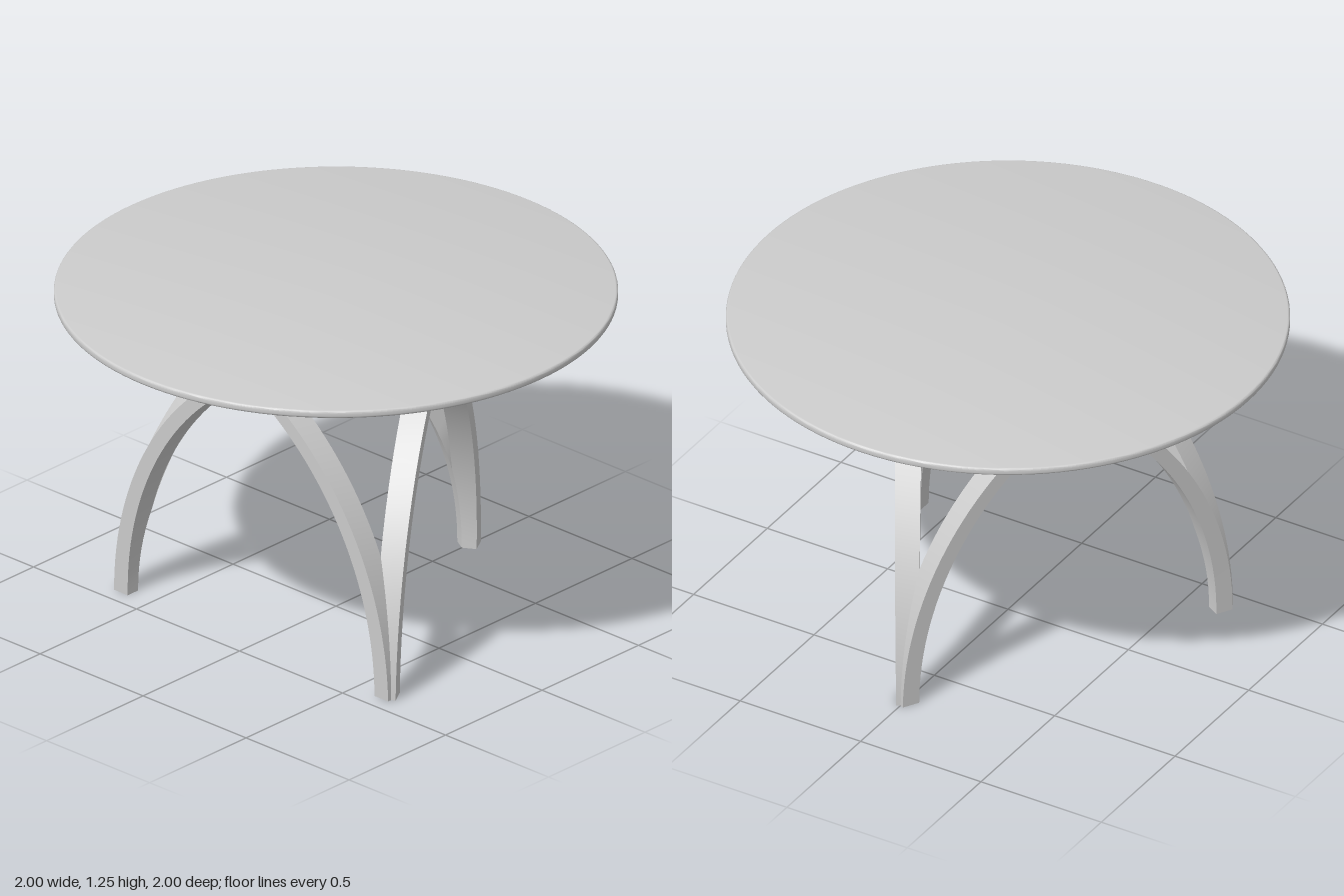
import * as THREE from 'three';
import { toCreasedNormals } from 'three/addons/utils/BufferGeometryUtils.js';

const material = new THREE.MeshStandardMaterial({ color: 0xcccccc });

// Curved arm: rises from a foot on one side (s) as a quarter ellipse and runs
// flat to the opposite corner. Both ends are mitred against the next arm.
function armGeometry(s) {
  const A = 1.15, B = 1.187, CX = -0.518, STEPS = 44, TIP = -0.735, FLAT = 4;
  const positions = [], index = [];
  const tri = (a, b, c) => (s > 0 ? index.push(a, b, c) : index.push(a, c, b));

  const addRing = (u, y, nx, ny, k) => {
    const half = THREE.MathUtils.lerp(0.033, 0.02, k);
    const outer = THREE.MathUtils.lerp(0.4, 0.425, k);
    for (const [n, side] of [[1, 0], [1, 1], [-1, 1], [-1, 0]]) {
      const pu = u + n * half * nx;
      const py = Math.max(0, y + n * half * ny);
      const inner = Math.min(Math.max(0.32, Math.abs(pu) / Math.sqrt(3)), outer);
      positions.push(s * pu, py, side ? outer : inner);
    }
  };

  for (let i = 0; i <= STEPS; i++) {
    const t = (i / STEPS) * Math.PI / 2;
    const n = new THREE.Vector2(Math.cos(t) / A, Math.sin(t) / B).normalize();
    addRing(CX + A * Math.cos(t), B * Math.sin(t), n.x, n.y, i / STEPS);
  }
  for (let i = 1; i <= FLAT; i++) addRing(THREE.MathUtils.lerp(CX, TIP, i / FLAT), B, 0, 1, 1);

  const last = STEPS + FLAT;
  for (let i = 0; i < last; i++) {
    for (let k = 0; k < 4; k++) {
      const a = i * 4 + k, b = i * 4 + (k + 1) % 4;
      tri(a, a + 4, b + 4);
      tri(a, b + 4, b);
    }
  }
  tri(0, 1, 2);
  tri(0, 2, 3);
  const e = last * 4;
  tri(e, e + 2, e + 1);
  tri(e, e + 3, e + 2);

  const g = new THREE.BufferGeometry();
  g.setAttribute('position', new THREE.Float32BufferAttribute(positions, 3));
  g.setIndex(index);
  return toCreasedNormals(g, 0.5);
}

// Round top with softened rim
function topGeometry() {
  const y0 = 1.221, y1 = 1.25, r = 0.009;
  const pts = [new THREE.Vector2(0, y0)];
  for (let i = 0; i <= 4; i++) {
    const t = -Math.PI / 2 + (i / 4) * Math.PI / 2;
    pts.push(new THREE.Vector2(1 - r + r * Math.cos(t), y0 + r + r * Math.sin(t)));
  }
  for (let i = 0; i <= 4; i++) {
    const t = (i / 4) * Math.PI / 2;
    pts.push(new THREE.Vector2(1 - r + r * Math.cos(t), y1 - r + r * Math.sin(t)));
  }
  pts.push(new THREE.Vector2(0, y1));
  return toCreasedNormals(new THREE.LatheGeometry(pts, 128), 0.5);
}

export function createModel() {
  const model = new THREE.Group();
  model.name = 'roundTable';

  const add = (parent, geometry, name) => {
    const mesh = new THREE.Mesh(geometry, material);
    mesh.name = name;
    parent.add(mesh);
    return mesh;
  };

  add(model, topGeometry(), 'tableTop');

  // Base: three pairs of crossing arms, one pair per side of a triangle
  const base = new THREE.Group();
  base.name = 'base';
  base.position.z = 0.04;
  model.add(base);

  const leftArm = armGeometry(1), rightArm = armGeometry(-1);
  const pad = new THREE.CylinderGeometry(0.03, 0.03, 0.022, 24);
  for (let i = 0; i < 3; i++) {
    const side = new THREE.Group();
    side.name = 'crossedArms' + (i + 1);
    side.rotation.y = (i * Math.PI * 2) / 3;
    base.add(side);
    add(side, leftArm, 'leftArm');
    add(side, rightArm, 'rightArm');
    // Spacer between the corner of the base and the top
    add(side, pad, 'spacerPad').position.set(0.615, 1.212, 0.355);
  }
  return model;
}
